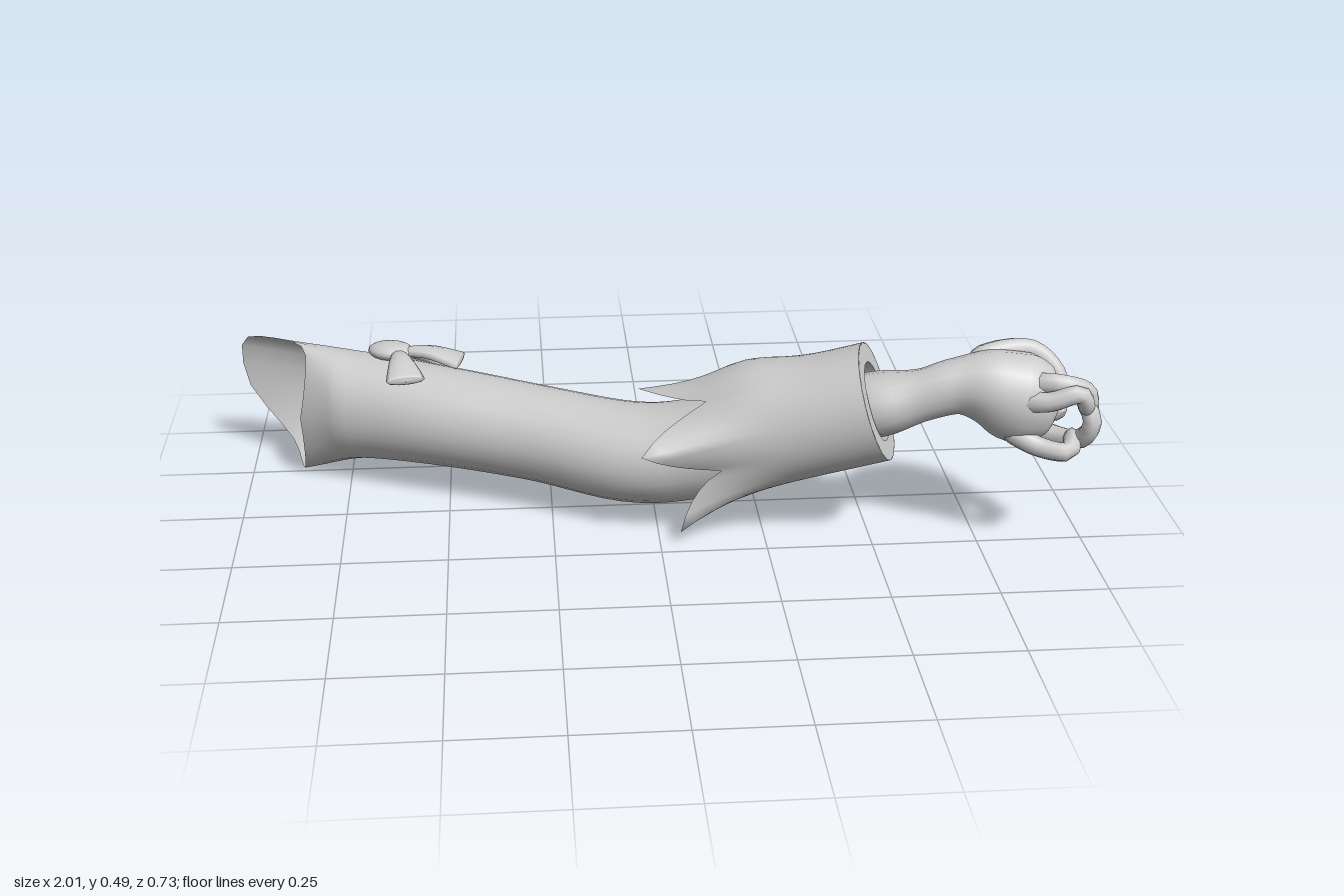
import * as THREE from 'three';

const V = (x, y, z) => new THREE.Vector3(x, y, z);
const clothGrey = new THREE.MeshStandardMaterial({ color: 0xcccccc, side: THREE.DoubleSide });
clothGrey.name = 'clothGrey';

// Closed-around surface: n rows, m points per row, fn(i, j) gives a point
function surface(name, n, m, fn) {
  const pos = [], idx = [];
  for (let i = 0; i < n; i++) for (let j = 0; j < m; j++) pos.push(...fn(i, j).toArray());
  for (let i = 0; i < n - 1; i++) for (let j = 0; j < m; j++) {
    const k = (j + 1) % m, a = i * m + j, b = a + m, c = i * m + k, d = c + m;
    idx.push(a, b, c, c, b, d);
  }
  const g = new THREE.BufferGeometry();
  g.setAttribute('position', new THREE.Float32BufferAttribute(pos, 3));
  g.setIndex(idx);
  g.computeVertexNormals();
  const mesh = new THREE.Mesh(g, clothGrey);
  mesh.name = name;
  return mesh;
}

// Side and up directions across a tangent
function frame(t) {
  const side = V().crossVectors(t, V(0, 1, 0)).normalize();
  return { side, up: V().crossVectors(side, t).normalize() };
}

// Oval sections [x, y, z, halfWidth, halfHeight] joined smoothly
function loft(name, rings, n, m, adjust) {
  const path = new THREE.CatmullRomCurve3(rings.map(r => V(r[0], r[1], r[2])));
  const size = new THREE.CatmullRomCurve3(rings.map(r => V(r[3], r[4], 0)));
  return surface(name, n, m, (i, j) => {
    const u = i / (n - 1), a = j / m * Math.PI * 2;
    const { side, up } = frame(path.getTangent(u));
    const s = size.getPoint(u);
    const p = path.getPoint(u).addScaledVector(side, Math.cos(a) * s.x).addScaledVector(up, Math.sin(a) * s.y);
    if (adjust) adjust(p, u, a);
    return p;
  });
}

// Rounded tapering finger along a few joints
function finger(name, joints, r) {
  const path = new THREE.CatmullRomCurve3(joints.map(p => V(...p)));
  const n = 16, m = 8, fr = path.computeFrenetFrames(n - 1);
  return surface(name, n, m, (i, j) => {
    const u = i / (n - 1), a = j / m * Math.PI * 2;
    const rr = r * (1.15 - 0.35 * u) * Math.sqrt(Math.max(0, Math.min(1, (1 - u) * 8, u * 8 + 0.1)));
    return path.getPointAt(u).addScaledVector(fr.normals[i], -Math.cos(a) * rr)
      .addScaledVector(fr.binormals[i], Math.sin(a) * rr);
  });
}

function makeCuff() {
  const g = new THREE.Group();
  g.name = 'leafCuff';
  const end = V(0.505, 0.35, 0.19), t = V(0.912, 0.325, 0.253).normalize();
  const { side, up } = frame(t);
  const at = (a, r, l) => end.clone().addScaledVector(t, -l)
    .addScaledVector(side, Math.cos(a) * r).addScaledVector(up, Math.sin(a) * r);

  // Leaf tips: angle, length back from the wrist, radius
  const tips = [[20, 0.52, 0.22], [100, 0.55, 0.16], [160, 0.48, 0.225], [229, 0.56, 0.17], [315, 0.51, 0.215]];
  const steps = 10, valley = 0.37, cols = [];
  tips.forEach((p, i) => {
    const q = tips[(i + 1) % tips.length];
    const span = (q[0] - p[0] + 360) % 360;
    for (let s = 0; s < steps; s++) {
      const f = s / steps, near = f < 0.5 ? p : q, k = Math.abs(2 * f - 1);
      cols.push({ a: (p[0] + span * f) * Math.PI / 180, l: valley + (near[1] - valley) * k ** 0.8, r: 0.137 + (near[2] - 0.137) * k * k });
    }
  });
  const rows = 14;
  g.add(surface('cuffLeaves', rows, cols.length, (i, j) => {
    const c = cols[j], l = c.l * (1 - i / (rows - 1));
    const w = Math.max(0, (l - 0.2) / (c.l - 0.2));
    // Soft fold over the top of the elbow
    const fold = 0.024 * Math.max(0, Math.cos(c.a - 1.8)) ** 2 * Math.exp(-(((l - 0.28) / 0.1) ** 2));
    return at(c.a, 0.141 + (c.r - 0.141) * w * w + fold, l);
  }));
  // Flat rim and the hollow inside it
  const m = 20, ring = (name, list) => surface(name, list.length, m,
    (i, j) => at(j / m * Math.PI * 2, list[i][0], list[i][1]));
  g.add(ring('cuffRim', [[0.141, 0], [0.095, 0]]));
  g.add(ring('cuffLining', [[0.095, 0], [0.09, 0.12]]));
  g.add(ring('cuffFloor', [[0.09, 0.12], [0.02, 0.12]]));
  return g;
}

function makeBow() {
  const g = new THREE.Group();
  g.name = 'bow';
  const c = [-0.62, 0.335, -0.225];
  // Flaring ribbon ends
  const ends = [[-0.525, 0.268, -0.3], [-0.465, 0.322, -0.19], [-0.595, 0.32, -0.08]];
  for (const e of ends) {
    const mid = c.map((v, i) => (v + e[i]) / 2 + (i === 1 ? 0.012 : 0));
    const tip = e.map((v, i) => v + (v - c[i]) * 0.03);
    g.add(loft('ribbonEnd', [[...c, 0.012, 0.012], [...mid, 0.03, 0.014], [...e, 0.047, 0.012], [...tip, 0.001, 0.001]], 14, 10));
  }
  // Teardrop knot
  const knot = new THREE.Mesh(new THREE.SphereGeometry(1, 16, 10), clothGrey);
  knot.name = 'knot';
  knot.scale.set(0.058, 0.022, 0.042);
  knot.position.set(-0.635, 0.338, -0.23);
  knot.rotation.y = -0.3;
  g.add(knot);
  return g;
}

function makeHand() {
  const g = new THREE.Group();
  g.name = 'hand';
  g.add(loft('wristAndPalm', [
    [0.40, 0.315, 0.165, 0.08, 0.08], [0.52, 0.352, 0.205, 0.08, 0.076], [0.61, 0.385, 0.235, 0.052, 0.062],
    [0.68, 0.405, 0.24, 0.058, 0.067], [0.75, 0.402, 0.245, 0.082, 0.09], [0.82, 0.378, 0.25, 0.09, 0.108],
    [0.88, 0.36, 0.25, 0.075, 0.09], [0.905, 0.355, 0.25, 0.045, 0.055], [0.91, 0.353, 0.25, 0.002, 0.002]], 36, 16));
  // Curled fingers
  g.add(finger('thumb', [[0.71, 0.45, 0.21], [0.79, 0.468, 0.19], [0.86, 0.467, 0.185], [0.91, 0.43, 0.205], [0.935, 0.37, 0.235]], 0.026));
  const fingers = [
    [[0.83, 0.31, 0.21], [0.90, 0.282, 0.25], [0.96, 0.295, 0.31], [0.975, 0.35, 0.335], [0.95, 0.405, 0.28]],
    [[0.78, 0.32, 0.28], [0.86, 0.28, 0.315], [0.925, 0.278, 0.34], [0.945, 0.31, 0.28]],
    [[0.79, 0.39, 0.29], [0.87, 0.40, 0.335], [0.94, 0.42, 0.345], [0.965, 0.36, 0.33]],
    [[0.81, 0.42, 0.27], [0.90, 0.435, 0.315], [0.965, 0.41, 0.31], [0.98, 0.34, 0.3]]];
  for (const f of fingers) g.add(finger('finger', f, 0.024));
  g.add(finger('palmPad', [[0.82, 0.36, 0.185], [0.89, 0.335, 0.195], [0.93, 0.34, 0.26]], 0.032));
  return g;
}

export function createModel() {
  const model = new THREE.Group();
  model.name = 'sleevedArm';
  // Sleeve with a slanted, pointed shoulder opening
  model.add(loft('sleeve', [
    [-0.89, 0.176, -0.282, 0.088, 0.172], [-0.72, 0.19, -0.238, 0.117, 0.138], [-0.5, 0.19, -0.15, 0.122, 0.123],
    [-0.28, 0.18, -0.06, 0.119, 0.117], [-0.05, 0.168, 0.04, 0.13, 0.12], [0.08, 0.19, 0.08, 0.125, 0.12],
    [0.3, 0.275, 0.135, 0.12, 0.12]], 36, 24, (p, u, a) => {
    const w = Math.max(0, 1 - u * 7), peak = Math.max(0, Math.cos(a - 2.6));
    p.x += w * (0.045 * Math.cos(a) + 0.05 * Math.max(0, Math.sin(a)) - 0.125 * peak ** 2);
    p.y += w * 0.05 * peak ** 6;
  }));
  model.add(makeCuff(), makeBow(), makeHand());
  return model;
}
